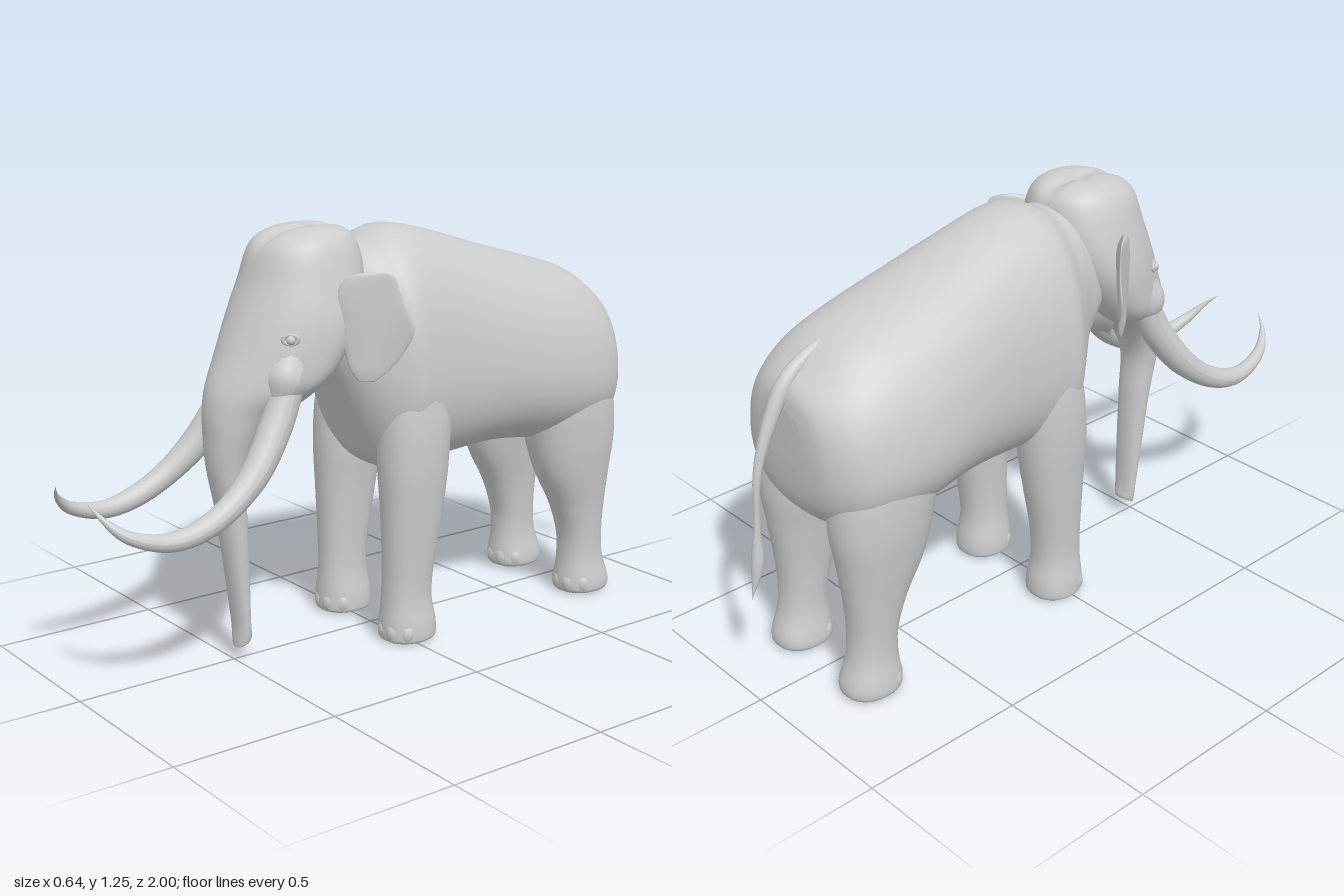
import * as THREE from 'three';

const material = new THREE.MeshStandardMaterial({ color: 0xcccccc, roughness: 0.8, side: THREE.DoubleSide });

// Smooth interpolation of rows of numbers, u in [0, rows - 1]
function sample(rows, u) {
  const i = Math.min(Math.floor(u), rows.length - 2), t = u - i;
  const at = k => rows[Math.max(0, Math.min(rows.length - 1, k))];
  const [a, b, c, d] = [at(i - 1), at(i), at(i + 1), at(i + 2)];
  return b.map((p, k) => {
    const m = (c[k] - a[k]) / 2, n = (d[k] - p) / 2, q = c[k];
    return p + t * m + t * t * (3 * (q - p) - 2 * m - n) + t * t * t * (2 * (p - q) + m + n);
  });
}

// Closed skin over oval sections. Row: [position, low, high, halfWidth, centreX, taper]
// axis 'z': upright sections, rows from back to front; axis 'y': level sections, rows from top down
function loft(rows, axis, { sides = 40, steps = 6, power = 0.9 } = {}) {
  const pos = [], index = [], rings = (rows.length - 1) * steps + 1;
  const put = (x, h, t) => (axis === 'z' ? pos.push(x, h, t) : pos.push(x, t, h));
  const soft = v => Math.sign(v) * Math.abs(v) ** power;
  for (let i = 0; i < rings; i++) {
    const [t, lo, hi, w, cx, taper] = sample(rows, i / steps);
    for (let j = 0; j < sides; j++) {
      const a = (j / sides) * Math.PI * 2, s = soft(Math.sin(a));
      put(cx + w * soft(Math.cos(a)) * (1 - taper * s), (lo + hi) / 2 + ((hi - lo) / 2) * s, t);
    }
  }
  for (let i = 0; i < rings - 1; i++) for (let j = 0; j < sides; j++) {
    const k = (j + 1) % sides, a = i * sides + j, b = i * sides + k;
    index.push(a, b, b + sides, a, b + sides, a + sides);
  }
  // end caps
  [0, rings - 1].forEach(r => {
    const [t, lo, hi, , cx] = sample(rows, r / steps), c = pos.length / 3;
    put(cx, (lo + hi) / 2, t);
    for (let j = 0; j < sides; j++) {
      const a = r * sides + j, b = r * sides + (j + 1) % sides;
      index.push(c, ...(r ? [a, b] : [b, a]));
    }
  });
  const g = new THREE.BufferGeometry();
  g.setAttribute('position', new THREE.Float32BufferAttribute(pos, 3));
  g.setIndex(index);
  g.computeVertexNormals();
  return g;
}

// Move every vertex by a rule
function reshape(g, rule) {
  const p = g.attributes.position, v = new THREE.Vector3();
  for (let i = 0; i < p.count; i++) {
    rule(v.fromBufferAttribute(p, i), i);
    p.setXYZ(i, v.x, v.y, v.z);
  }
  g.computeVertexNormals();
  return g;
}

// Tube whose radius follows a list of values
function taperTube(points, radii, segments = 48, sides = 20) {
  const curve = new THREE.CatmullRomCurve3(points.map(p => new THREE.Vector3(...p)));
  const g = new THREE.TubeGeometry(curve, segments, 1, sides);
  const rows = radii.map(r => [r]);
  return reshape(g, (v, i) => {
    const u = Math.floor(i / (sides + 1)) / segments, c = curve.getPointAt(u);
    v.sub(c).multiplyScalar(sample(rows, u * (rows.length - 1))[0]).add(c);
  });
}

function mirrored(g) {
  const m = g.clone().scale(-1, 1, 1), ix = m.index.array;
  for (let i = 0; i < ix.length; i += 3) [ix[i], ix[i + 1]] = [ix[i + 1], ix[i]];
  m.computeVertexNormals();
  return m;
}

export function createModel() {
  const model = new THREE.Group();
  model.name = 'mammoth';
  const add = (name, g) => {
    const mesh = new THREE.Mesh(g, material);
    mesh.name = name;
    model.add(mesh);
  };
  const pair = (name, g) => {
    add(name + 'Left', g);
    add(name + 'Right', mirrored(g));
  };

  // Torso from rump to neck
  add('torso', loft([
    [-0.86, 0.72, 0.88, 0.08, 0, 0],
    [-0.845, 0.6, 0.94, 0.165, 0, 0.08],
    [-0.79, 0.53, 0.99, 0.24, 0, 0.12],
    [-0.70, 0.51, 1.05, 0.275, 0, 0.15],
    [-0.55, 0.515, 1.097, 0.29, 0, 0.15],
    [-0.38, 0.53, 1.145, 0.275, 0, 0.13],
    [-0.20, 0.515, 1.2, 0.253, 0, 0.12],
    [-0.06, 0.505, 1.23, 0.25, 0, 0.12],
    [0.01, 0.51, 1.22, 0.247, 0, 0.12],
    [0.07, 0.57, 1.195, 0.205, 0, 0.1],
    [0.13, 0.69, 1.19, 0.165, 0, 0.05],
    [0.21, 0.82, 1.17, 0.145, 0, 0],
    [0.28, 0.87, 1.1, 0.11, 0, 0],
  ], 'z', { sides: 56, power: 0.87 }));

  // Head running down into the trunk, which ends in a hollow tip; shallow groove over the crown
  const head = loft([
    [1.25, 0.18, 0.25, 0.05, 0, 0],
    [1.24, 0.13, 0.32, 0.1, 0, 0],
    [1.2, 0.09, 0.39, 0.143, 0, 0],
    [1.1, 0.08, 0.43, 0.175, 0, 0.08],
    [1.0, 0.11, 0.475, 0.193, 0, 0.2],
    [0.9, 0.17, 0.52, 0.187, 0, 0.3],
    [0.82, 0.24, 0.557, 0.165, 0, 0.35],
    [0.75, 0.34, 0.57, 0.112, 0, 0.15],
    [0.68, 0.42, 0.57, 0.084, 0, 0],
    [0.58, 0.465, 0.565, 0.063, 0, 0],
    [0.45, 0.46, 0.54, 0.054, 0, 0],
    [0.3, 0.455, 0.52, 0.048, 0, 0],
    [0.12, 0.452, 0.497, 0.04, 0, 0],
    [0.06, 0.446, 0.496, 0.033, 0, 0],
    [0.05, 0.452, 0.493, 0.025, 0, 0],
    [0.075, 0.462, 0.485, 0.014, 0, 0],
  ], 'y', { sides: 48 });
  add('headAndTrunk', reshape(head, v => {
    if (v.y > 1.12) v.y -= 0.012 * Math.exp(-((v.x / 0.022) ** 2)) * Math.min(1, (v.y - 1.12) / 0.1);
    if (v.y < 0.1) v.y -= (v.z - 0.47) * 0.5 * (0.1 - v.y) / 0.05; // slanting trunk tip
  }));

  // Lower jaw, flaring cheeks around the tusk roots, and tusks
  add('lowerJaw', taperTube(
    [[0, 0.92, 0.24], [0, 0.83, 0.29], [0, 0.75, 0.345], [0, 0.685, 0.38]], [0.11, 0.1, 0.06, 0.004]));
  pair('cheek', taperTube(
    [[0.07, 1.02, 0.3], [0.1, 0.92, 0.35], [0.127, 0.83, 0.4], [0.14, 0.775, 0.43], [0.142, 0.755, 0.437]],
    [0.05, 0.076, 0.068, 0.06, 0.002]));
  pair('tusk', taperTube([
    [0.13, 0.82, 0.39], [0.145, 0.72, 0.44], [0.172, 0.59, 0.54], [0.187, 0.5, 0.67],
    [0.185, 0.468, 0.8], [0.165, 0.5, 0.92], [0.13, 0.55, 0.975], [0.09, 0.59, 0.998],
  ], [0.047, 0.047, 0.043, 0.036, 0.032, 0.025, 0.016, 0.001], 64));

  // Ears: blades swept outwards and back, thick at the root
  const ear = loft([
    [1.135, -0.003, 0.003, 0.018, 0.245, 0],
    [1.12, -0.007, 0.007, 0.042, 0.234, 0],
    [1.06, -0.01, 0.01, 0.066, 0.226, 0],
    [0.98, -0.01, 0.01, 0.078, 0.242, 0],
    [0.91, -0.009, 0.009, 0.054, 0.24, 0],
    [0.86, -0.008, 0.008, 0.033, 0.233, 0],
    [0.828, -0.003, 0.003, 0.014, 0.229, 0],
  ], 'y', { sides: 32 });
  pair('ear', reshape(ear, v => {
    v.z *= 1 + 2.5 * Math.max(0, (0.26 - v.x) / 0.09);
    v.z += 0.235 - 0.93 * (v.x - 0.17) + 0.012 * Math.sin((v.x - 0.17) * 40);
  }));

  // Eyes with heavy lids
  pair('eye', new THREE.SphereGeometry(0.013, 16, 12).translate(0.161, 0.96, 0.396));
  pair('eyelid', new THREE.TorusGeometry(0.017, 0.006, 8, 20).scale(1.2, 0.8, 1).rotateY(0.95)
    .translate(0.158, 0.961, 0.395));

  // Legs
  pair('frontLeg', loft([
    [1.0, -0.07, 0.0, 0.04, 0.13, 0],
    [0.86, -0.12, 0.03, 0.08, 0.15, 0],
    [0.7, -0.146, 0.066, 0.094, 0.16, 0],
    [0.55, -0.14, 0.077, 0.093, 0.163, 0],
    [0.4, -0.122, 0.072, 0.08, 0.166, 0],
    [0.25, -0.095, 0.067, 0.07, 0.165, 0],
    [0.14, -0.086, 0.068, 0.067, 0.163, 0],
    [0.06, -0.098, 0.074, 0.078, 0.163, 0],
    [0.02, -0.1, 0.075, 0.08, 0.163, 0],
    [0.006, -0.094, 0.07, 0.076, 0.163, 0],
    [0.0, -0.08, 0.058, 0.062, 0.163, 0],
  ], 'y', { sides: 32 }));
  pair('backLeg', loft([
    [0.95, -0.7, -0.6, 0.05, 0.13, 0],
    [0.82, -0.755, -0.53, 0.098, 0.145, 0],
    [0.68, -0.81, -0.49, 0.12, 0.152, 0],
    [0.54, -0.825, -0.51, 0.114, 0.157, 0],
    [0.42, -0.812, -0.545, 0.096, 0.161, 0],
    [0.3, -0.798, -0.61, 0.077, 0.162, 0],
    [0.2, -0.792, -0.645, 0.068, 0.162, 0],
    [0.12, -0.8, -0.65, 0.067, 0.162, 0],
    [0.05, -0.822, -0.643, 0.078, 0.162, 0],
    [0.02, -0.825, -0.642, 0.08, 0.162, 0],
    [0.006, -0.818, -0.648, 0.075, 0.162, 0],
    [0.0, -0.805, -0.66, 0.062, 0.162, 0],
  ], 'y', { sides: 32 }));

  // Toes round the front of each foot
  const feet = [['frontToe', 0.163, -0.011, 0.074], ['backToe', 0.162, -0.733, 0.079]];
  for (const [name, cx, cz, depth] of feet) {
    for (const a of [-0.95, -0.32, 0.32, 0.95]) {
      pair(name, new THREE.SphereGeometry(0.023, 14, 10).scale(1, 1.3, 0.75).rotateY(a)
        .translate(cx + 0.07 * Math.sin(a), 0.034, cz + depth * Math.cos(a)));
    }
  }

  // Tail with its tuft
  add('tail', taperTube([
    [0, 1.05, -0.66], [0, 1.008, -0.76], [0, 0.955, -0.835], [0, 0.85, -0.898], [0, 0.72, -0.947],
    [0, 0.57, -0.962], [0, 0.45, -0.97], [0, 0.4, -0.98], [0, 0.34, -0.998],
  ], [0.006, 0.017, 0.023, 0.02, 0.014, 0.01, 0.01, 0.018, 0.001], 56, 16));

  return model;
}
